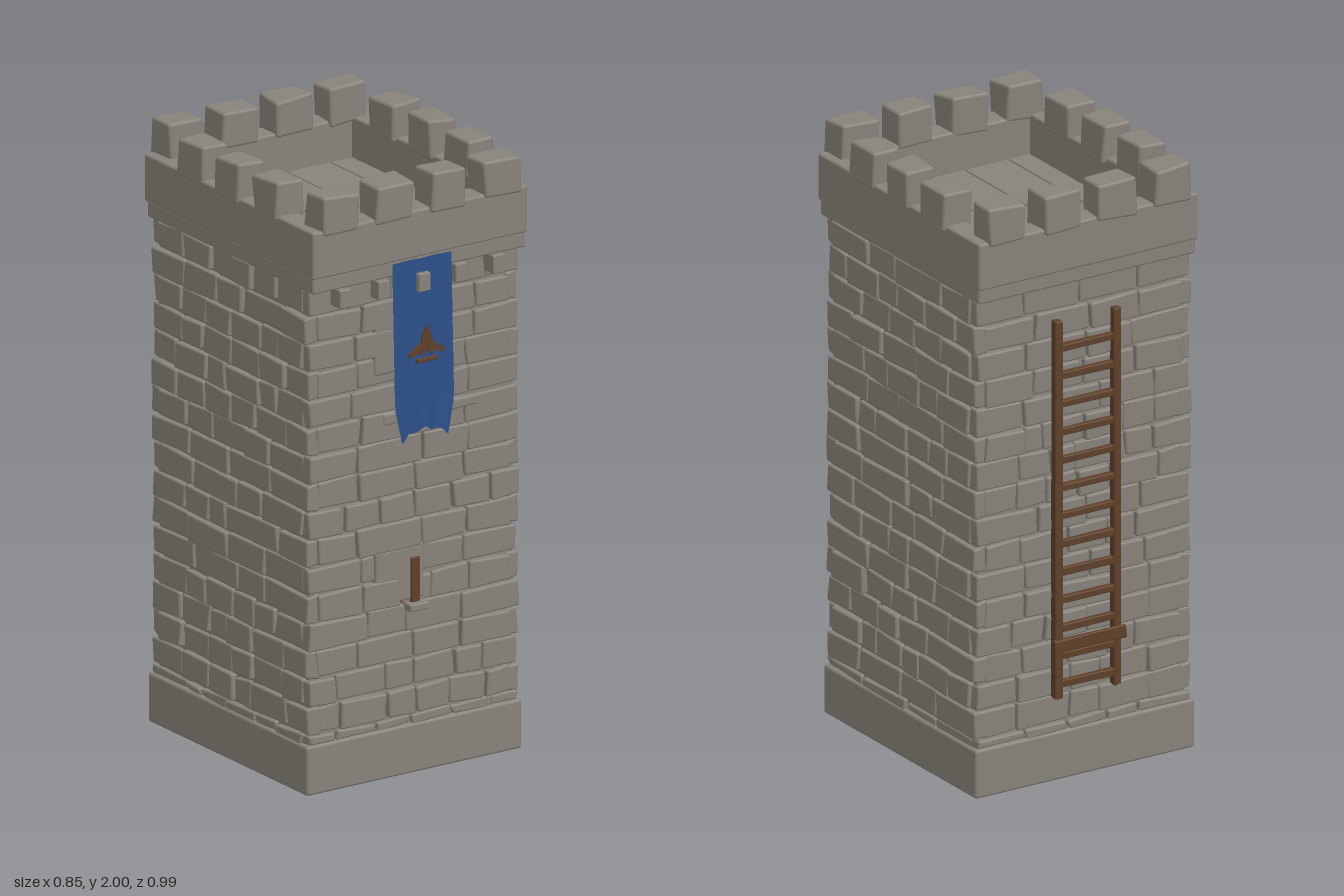
import * as THREE from 'three';
import { mergeGeometries } from 'three/addons/utils/BufferGeometryUtils.js';
import { RoundedBoxGeometry } from 'three/addons/geometries/RoundedBoxGeometry.js';

export function createModel() {
  const model = new THREE.Group();
  const material = (name, color, side = THREE.FrontSide) => {
    const m = new THREE.MeshStandardMaterial({ color, side });
    m.name = name;
    return m;
  };
  const stone = material('stone', 0x87827a);
  const wood = material('wood', 0x5e4029);
  const cloth = material('cloth', 0x2b4f88, THREE.DoubleSide);

  let seed = 7;
  const rand = () => (seed = (seed * 16807) % 2147483647) / 2147483647;
  const jitter = (a) => (rand() * 2 - 1) * a;

  const add = (name, geometry, mat, parent = model) => {
    const mesh = new THREE.Mesh(geometry, mat);
    mesh.name = name;
    parent.add(mesh);
    return mesh;
  };

  // Rounded block given by its ranges, with each corner nudged at random
  const block = (x0, x1, y0, y1, z0, z1, wobble = 0, radius = 0.008) => {
    const w = x1 - x0, h = y1 - y0, d = z1 - z0;
    const g = new RoundedBoxGeometry(w, h, d, 1, Math.min(radius, w / 3, h / 3, d / 3));
    const nudges = Array.from({ length: 8 }, () => [jitter(wobble), jitter(wobble), jitter(wobble * 0.6)]);
    const p = g.attributes.position;
    for (let i = 0; i < p.count; i++) {
      const x = p.getX(i), y = p.getY(i), z = p.getZ(i);
      const n = nudges[(x > 0 ? 1 : 0) + (y > 0 ? 2 : 0) + (z > 0 ? 4 : 0)];
      p.setXYZ(i, x + n[0] + (x0 + x1) / 2, y + n[1] + (y0 + y1) / 2, z + n[2] + (z0 + z1) / 2);
    }
    return g;
  };
  const box = (name, mat, ...ranges) => add(name, block(...ranges), mat);

  // Base, wall core
  const cz = -0.018, halfX = 0.405, halfZ = 0.435;
  box('base', stone, -0.413, 0.41, 0, 0.165, -0.462, 0.422, 0, 0.01);
  box('wallCore', stone, -halfX + 0.016, halfX - 0.016, 0.1, 1.7, cz - halfZ + 0.016, cz + halfZ - 0.016);

  // Brick courses: a thin one on the base, then even rows up to the parapet
  const courses = [[0.16, 0.195]];
  for (let i = 0; i < 16; i++) courses.push([0.195 + i * 0.0932, 0.195 + (i + 1) * 0.0932]);
  const brickWall = (halfLength, depth, angle, parity) => {
    const bricks = [];
    courses.forEach(([y0, y1], row) => {
      const inset = (row + parity) % 2 ? 0.035 : 0.004;
      const end = halfLength - inset;
      const count = 4 + Math.floor(rand() * 3);
      const cuts = [];
      for (let i = 0; i <= count; i++) {
        const inner = i > 0 && i < count;
        cuts.push(-end + (2 * end * i) / count + (inner ? jitter(0.035) : 0));
      }
      for (let i = 0; i < count; i++) {
        const face = depth + jitter(0.006);
        bricks.push(block(cuts[i] + 0.003, cuts[i + 1] - 0.003, y0 + 0.003, y1 - 0.003,
          depth - 0.05, face, 0.005, 0.007));
      }
    });
    const g = mergeGeometries(bricks);
    g.rotateY(angle);
    g.translate(0, 0, cz);
    return g;
  };
  add('frontBricks', brickWall(halfX, halfZ, 0, 0), stone);
  add('leftBricks', brickWall(halfZ, halfX, Math.PI / 2, 1), stone);
  add('backBricks', brickWall(halfX, halfZ, Math.PI, 0), stone);
  add('rightBricks', brickWall(halfZ, halfX, -Math.PI / 2, 1), stone);

  // Parapet: ledge, four walls and a plank floor inside
  box('parapetLedge', stone, -0.409, 0.405, 1.68, 1.735, -0.472, 0.449);
  box('parapetFront', stone, -0.413, 0.41, 1.73, 1.888, 0.365, 0.455);
  box('parapetBack', stone, -0.413, 0.41, 1.73, 1.888, -0.482, -0.4);
  box('parapetRight', stone, -0.413, -0.33, 1.73, 1.888, -0.47, 0.44);
  box('parapetLeft', stone, 0.327, 0.41, 1.73, 1.888, -0.47, 0.44);
  const seams = [-0.34, -0.25, -0.086, 0.079, 0.245, 0.335];
  for (let i = 0; i < 5; i++) {
    box('floorPlank', stone, seams[i] + 0.002, seams[i + 1] - 0.002, 1.72, 1.752, -0.41, 0.37, 0, 0.004);
  }

  // Merlons
  const merlon = (x0, x1, z0, z1) =>
    box('merlon', stone, x0, x1, 1.872, 1.998, z0, z1, 0.006, 0.01);
  for (const [x0, x1] of [[-0.38, -0.243], [-0.175, -0.034], [0.036, 0.168], [0.24, 0.377]]) {
    merlon(x0, x1, 0.36, 0.465);
    merlon(x0, x1, -0.493, -0.388);
  }
  for (const [z0, z1] of [[-0.287, -0.155], [-0.08, 0.05], [0.127, 0.26]]) {
    merlon(-0.42, -0.315, z0, z1);
    merlon(0.312, 0.418, z0, z1);
  }

  // Corbels under the ledge; the middle one holds the banner
  for (const x of [-0.295, -0.148, 0, 0.148, 0.292]) {
    box('corbel', stone, x - 0.023, x + 0.023, 1.62, 1.682, 0.38, x === 0 ? 0.478 : 0.468, 0, 0.005);
  }

  // Arrow slits with stone sills
  for (const y of [0.57, 1.34]) {
    box('slitSurround', stone, -0.15, 0.035, y + 0.01, y + 0.19, 0.38, 0.42, 0.003);
    box('arrowSlit', wood, -0.016, 0.016, y, y + 0.15, 0.4, 0.428, 0, 0.003);
    box('slitSill', stone, -0.037, 0.037, y - 0.022, y + 0.003, 0.4, 0.452, 0, 0.005);
  }
  box('thinCourse', stone, -0.12, 0.24, 1.18, 1.215, 0.38, 0.424, 0.003);

  // Banner: folded sheet, tapering to a notched, two-pointed hem
  const banner = new THREE.PlaneGeometry(2, 1, 24, 16);
  const p = banner.attributes.position;
  for (let i = 0; i < p.count; i++) {
    const u = p.getX(i), t = 0.5 - p.getY(i);
    const taper = t > 0.8 ? 1 - (t - 0.8) * 1.1 : 1;
    const hem = 1.165 - 0.03 * Math.pow(Math.abs(u), 1.5) + 0.006 * Math.cos(u * 9);
    p.setXYZ(i, u * 0.113 * taper, 1.728 + (hem - 1.728) * t,
      0.458 + 0.015 * t + 0.007 * (0.3 + t * 0.7) * Math.cos(u * 7));
  }
  banner.computeVertexNormals();
  add('banner', banner, cloth);

  // Winged arrowhead emblem with a bar below it
  const half = [[0.014, 1.485], [0.022, 1.455], [0.068, 1.425], [0.062, 1.412], [0.03, 1.425], [0.018, 1.412]];
  const wing = new THREE.Shape();
  wing.moveTo(0, 1.512);
  half.forEach(([x, y]) => wing.lineTo(x, y));
  wing.lineTo(0, 1.435);
  [...half].reverse().forEach(([x, y]) => wing.lineTo(-x, y));
  const emblem = new THREE.ExtrudeGeometry(wing, { depth: 0.008, bevelEnabled: false });
  emblem.translate(0, 0, 0.482);
  add('bannerEmblem', emblem, wood);
  box('emblemBar', wood, -0.04, 0.04, 1.392, 1.405, 0.482, 0.493, 0, 0.002);

  // Ladder on the back wall
  const ladder = new THREE.Group();
  ladder.name = 'ladder';
  model.add(ladder);
  for (const x of [-0.11, 0.11]) {
    add('ladderRail', block(x - 0.015, x + 0.015, 0.285, 1.565, -0.484, -0.456, 0.002, 0.005), wood, ladder);
  }
  for (let i = 0; i < 13; i++) {
    const y = 0.33 + i * 0.095;
    add('ladderRung', block(-0.11, 0.11, y - 0.012, y + 0.012, -0.481, -0.46, 0.002, 0.004), wood, ladder);
  }
  add('ladderBrace', block(-0.135, 0.135, 0.445, 0.487, -0.494, -0.474, 0.003, 0.005), wood, ladder);

  return model;
}
